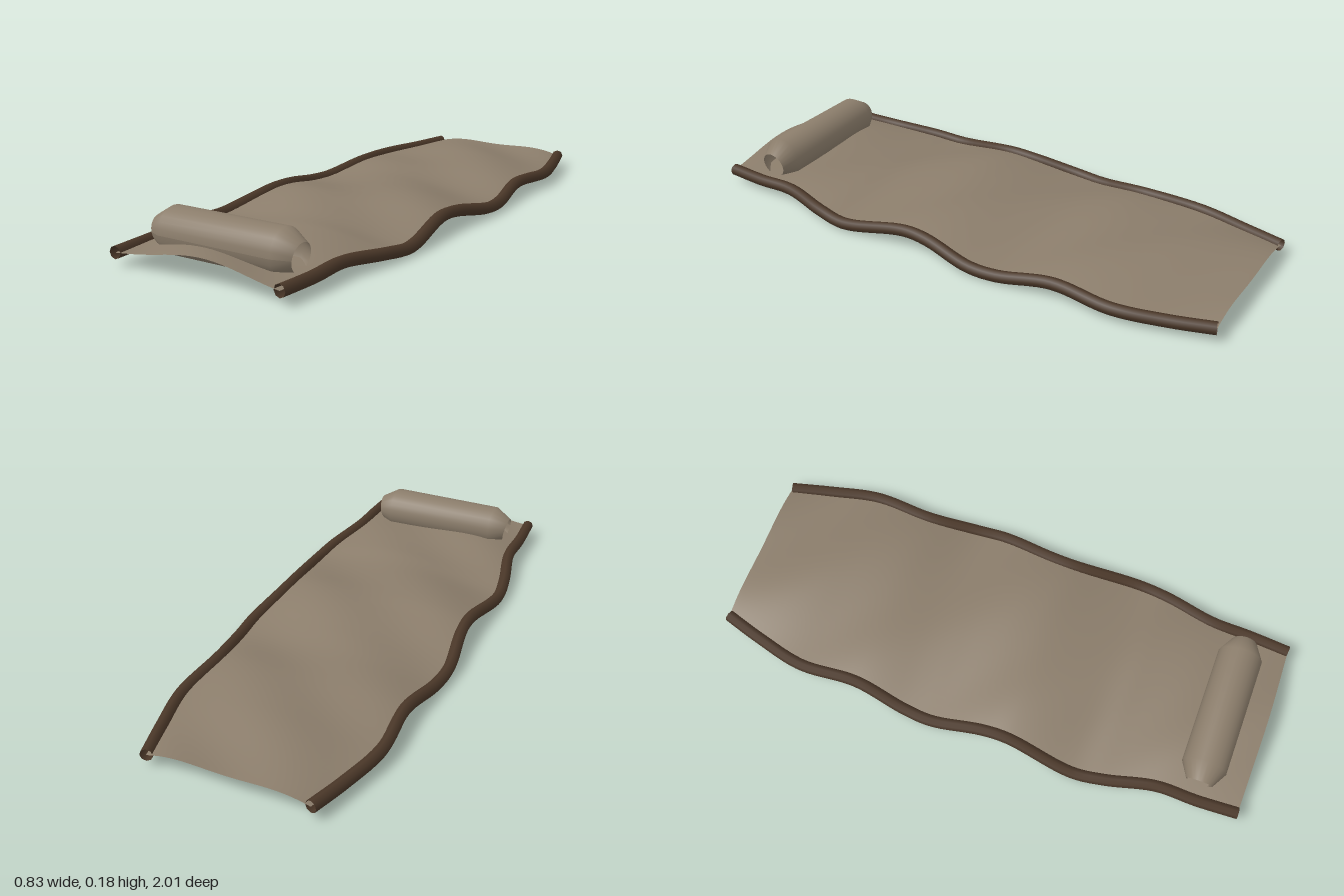
import * as THREE from 'three';

const matCloth = new THREE.MeshStandardMaterial({ name: 'tan cloth', color: 0x8b7d6b, side: THREE.DoubleSide });
const matWood = new THREE.MeshStandardMaterial({ name: 'dark brown wood', color: 0x4a3728, side: THREE.DoubleSide });

// Wavy centre line of the rod on the left edge; the right one mirrors it
const edge = new THREE.CatmullRomCurve3([
  [0.286, 0.048, -1], [0.328, 0.044, -0.85], [0.367, 0.046, -0.67], [0.356, 0.055, -0.45],
  [0.384, 0.029, -0.25], [0.391, 0.032, -0.14], [0.364, 0.062, 0.05], [0.361, 0.065, 0.15],
  [0.388, 0.027, 0.4], [0.374, 0.036, 0.52], [0.333, 0.052, 0.7], [0.331, 0.048, 0.85], [0.322, 0.048, 1],
].map((p) => new THREE.Vector3(...p)));

// How far the cloth rises above the rods; u runs from -1 to 1 across the mat
function lift(u, z) {
  const ripple = Math.cos((2 * Math.PI / 0.56) * (z - 0.4) - 2.6 * u);
  return (1 - u * u) * (0.031 + 0.015 * ripple);
}

// Rippled sheet spanning between the two rods
function makeSheet() {
  const geo = new THREE.PlaneGeometry(2, 1, 24, 80);
  geo.rotateX(-Math.PI / 2);
  const pos = geo.attributes.position;
  for (let i = 0; i < pos.count; i++) {
    const u = pos.getX(i);
    const p = edge.getPoint(THREE.MathUtils.clamp(pos.getZ(i) + 0.5, 0, 1));
    pos.setXYZ(i, u * p.x, p.y + lift(u, p.z), p.z);
  }
  geo.computeVertexNormals();
  return new THREE.Mesh(geo, matCloth);
}

// Wavy rod following one long edge
function makeRod(side) {
  const points = edge.getPoints(60).map((p) => new THREE.Vector3(side * p.x, p.y, p.z));
  const path = new THREE.CatmullRomCurve3(points);
  return new THREE.Mesh(new THREE.TubeGeometry(path, 80, 0.022, 8), matWood);
}

// Hollow roll with tapered open ends, the mouths slanting inward at the bottom
function makePillow() {
  const profile = [[0.048, -0.277], [0.081, -0.22], [0.081, 0.22], [0.048, 0.277]]
    .map(([r, y]) => new THREE.Vector2(r, y));
  const geo = new THREE.LatheGeometry(profile, 24);
  geo.rotateZ(Math.PI / 2);
  const pos = geo.attributes.position;
  for (let i = 0; i < pos.count; i++) {
    const x = pos.getX(i), y = pos.getY(i);
    if (Math.abs(x) > 0.25) pos.setXY(i, x + Math.sign(x) * 0.16 * y, y - 0.006);
  }
  geo.computeVertexNormals();
  const mesh = new THREE.Mesh(geo, matCloth);
  mesh.position.set(0, 0.099, 0.835);
  return mesh;
}

export function createModel() {
  const group = new THREE.Group();
  group.name = 'sleepingMat';
  const add = (name, mesh) => { mesh.name = name; group.add(mesh); };
  add('sheet', makeSheet());
  add('leftRod', makeRod(1));
  add('rightRod', makeRod(-1));
  add('pillow', makePillow());
  return group;
}
